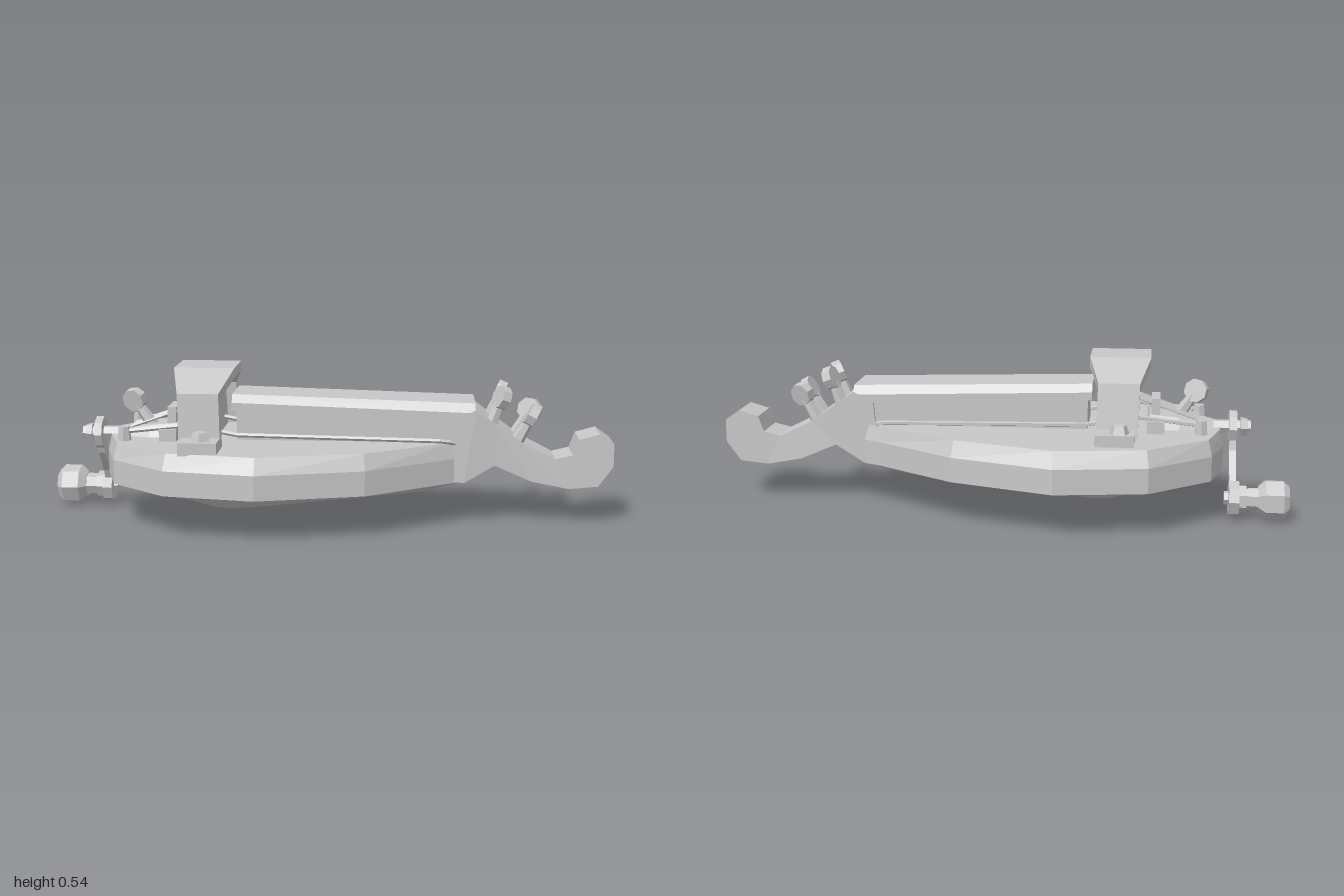
import * as THREE from 'three';

const V = (x, y, z) => new THREE.Vector3(x, y, z);
const CZ = 0.018; // the neck, key box and wheel share this centre line

const grey = new THREE.MeshStandardMaterial({ color: 0xc8c8c8, flatShading: true });
grey.name = 'plain grey';

// Skin between equal-sized rings of points, capped at both ends, faces outward
function loft(rings) {
  const n = rings[0].length, tris = [];
  for (let i = 0; i < rings.length - 1; i++) {
    for (let j = 0; j < n; j++) {
      const k = (j + 1) % n, a = rings[i], b = rings[i + 1];
      tris.push([a[j], b[j], b[k]], [a[j], b[k], a[k]]);
    }
  }
  const first = rings[0], last = rings[rings.length - 1];
  for (let j = 1; j < n - 1; j++) {
    tris.push([first[0], first[j], first[j + 1]], [last[0], last[j + 1], last[j]]);
  }
  let volume = 0;
  const cross = new THREE.Vector3();
  for (const [a, b, c] of tris) volume += a.dot(cross.crossVectors(b, c));
  if (volume < 0) tris.forEach((t) => t.reverse());
  const geometry = new THREE.BufferGeometry().setFromPoints(tris.flat());
  geometry.computeVertexNormals();
  return geometry;
}

export function createModel() {
  const model = new THREE.Group();
  model.name = 'crankedStringInstrument';

  const add = (name, geometry, parent = model) => {
    const mesh = new THREE.Mesh(geometry, grey);
    mesh.name = name;
    parent.add(mesh);
    return mesh;
  };
  const box = (name, w, h, d, x, y, z) => {
    const mesh = add(name, new THREE.BoxGeometry(w, h, d));
    mesh.position.set(x, y, z);
    return mesh;
  };
  // Prism or cone lying along x
  const rod = (name, x0, x1, r0, r1, y, z, sides) => {
    const mesh = add(name, new THREE.CylinderGeometry(r1, r0, x1 - x0, sides));
    mesh.rotation.z = -Math.PI / 2;
    mesh.position.set((x0 + x1) / 2, y, z);
    return mesh;
  };

  // Body: pear-shaped plan, bevelled rim and shallow faceted bowl
  const plan = [
    [-0.775, -0.04], [-0.73, -0.21], [-0.52, -0.39], [-0.21, -0.44], [0.14, -0.32], [0.42, -0.13], [0.48, -0.1],
    [0.48, 0.11], [0.45, 0.13], [0.15, 0.34], [-0.21, 0.435], [-0.52, 0.385], [-0.72, 0.22], [-0.775, 0.05],
  ];
  const bodyRing = (y, cx, sx, sz) => plan.map(([x, z]) => V(cx + (x + 0.147) * sx, y, z * sz + CZ * (1 - sz)));
  add('body', loft([
    bodyRing(0.295, -0.147, 0.98, 0.93),
    bodyRing(0.24, -0.147, 1, 1),
    bodyRing(0.155, -0.147, 1, 1),
    bodyRing(0.107, -0.155, 0.79, 0.53),
    bodyRing(0.043, -0.31, 0.19, 0.19),
  ]));

  // Neck and curled head: top point, bottom point, half width
  add('neck', loft([
    [0.45, 0.38, 0.43, 0.16, 0.112], [0.52, 0.41, 0.485, 0.155, 0.112], [0.60, 0.352, 0.59, 0.215, 0.098],
    [0.68, 0.295, 0.72, 0.157, 0.085], [0.80, 0.235, 0.85, 0.13, 0.073], [0.86, 0.25, 0.95, 0.14, 0.072],
    [0.88, 0.305, 1.0, 0.21, 0.072], [0.95, 0.325, 1.0, 0.29, 0.072],
  ].map(([tx, ty, bx, by, w]) => [V(tx, ty, CZ - w), V(tx, ty, CZ + w), V(bx, by, CZ + w), V(bx, by, CZ - w)])));

  // Key box and its sloping lid
  const taper = (name, x0, x1, b0, t0, b1, t1, wb, wt) => add(name, loft(
    [[x0, b0, t0], [x1, b1, t1]].map(([x, b, t]) => [
      V(x, b, CZ - wb), V(x, (b + t) / 2, CZ - wb), V(x, t, CZ - wt),
      V(x, t, CZ + wt), V(x, (b + t) / 2, CZ + wb), V(x, b, CZ + wb)])));
  taper('keyBox', -0.305, 0.47, 0.285, 0.41, 0.285, 0.38, 0.1, 0.1);
  taper('keyBoxLid', -0.32, 0.52, 0.4, 0.455, 0.37, 0.432, 0.112, 0.092);

  // Wheel, upper part showing above the body
  const wheel = new THREE.Shape([
    [0.205, 0.27], [0.2, 0.36], [0.165, 0.45], [0.06, 0.5], [-0.06, 0.5], [-0.165, 0.45], [-0.2, 0.36], [-0.205, 0.27],
  ].map(([z, y]) => new THREE.Vector2(z, y)));
  const wheelMesh = add('wheel', new THREE.ExtrudeGeometry(wheel, { depth: 0.06, bevelEnabled: false }));
  wheelMesh.rotation.y = Math.PI / 2;
  wheelMesh.position.set(-0.44, 0, CZ);

  // Wheel guard: arch flaring towards the top; outer z,y, inner z,y, x range
  add('wheelGuard', loft([
    [0.285, 0.285, 0.235, 0.285, -0.48, -0.34], [0.275, 0.482, 0.235, 0.46, -0.485, -0.345],
    [0.12, 0.547, 0.115, 0.512, -0.52, -0.31], [-0.062, 0.547, -0.06, 0.512, -0.52, -0.31],
    [-0.217, 0.485, -0.18, 0.45, -0.485, -0.345], [-0.25, 0.285, -0.2, 0.285, -0.48, -0.34],
  ].map(([oz, oy, iz, iy, x0, x1]) => [V(x0, oy, oz), V(x1, oy, oz), V(x1, iy, iz), V(x0, iy, iz)])));

  // Guard feet with five-sided bolts
  for (const [z, bx, bz] of [[0.32, -0.4, 0.325], [-0.285, -0.42, -0.3]]) {
    box('guardFoot', 0.13, 0.045, 0.105, -0.405, 0.311, z);
    const bolt = add('guardBolt', new THREE.CylinderGeometry(0.024, 0.036, 0.03, 5));
    bolt.position.set(bx, 0.347, bz);
  }

  // Drone strings with end pegs, on either side of the key box
  for (const side of [-1, 1]) {
    const z = CZ + side * 0.13;
    const path = new THREE.CurvePath();
    const pts = [V(-0.7, 0.325, z), V(-0.47, 0.35, z), V(-0.3, 0.318, z), V(0.42, 0.306, z), V(0.46, 0.29, z - side * 0.03)];
    for (let i = 0; i < pts.length - 1; i++) path.add(new THREE.LineCurve3(pts[i], pts[i + 1]));
    add('droneString', new THREE.TubeGeometry(path, 32, 0.008, 5));
    const peg = add('stringPeg', new THREE.CylinderGeometry(0.02, 0.025, 0.055, 6));
    peg.position.set(-0.695, 0.316, z);
    box('droneBridge', 0.06, 0.045, 0.04, -0.54, 0.315, z);
  }

  // Tailpiece rising towards the bridge, and the melody strings
  add('tailpiece', loft([
    [-0.74, 0.29, 0.315, 0.05], [-0.62, 0.29, 0.335, 0.085], [-0.52, 0.29, 0.345, 0.09],
  ].map(([x, b, t, w]) => [V(x, b, CZ - w), V(x, t, CZ - w * 0.7), V(x, t, CZ + w * 0.7), V(x, b, CZ + w)])));
  box('bridge', 0.03, 0.09, 0.12, -0.54, 0.355, CZ);
  for (const dz of [-0.045, -0.015, 0.015, 0.045]) {
    const line = new THREE.LineCurve3(V(-0.69, 0.325, CZ + dz), V(-0.42, 0.42, CZ + dz));
    add('melodyString', new THREE.TubeGeometry(line, 1, 0.005, 5));
  }

  // Tuning pegs: a tapered stem with a flat faceted head
  const tuningPeg = (x, y, z, lean, turn, size = 1) => {
    const peg = new THREE.Group();
    peg.name = 'tuningPeg';
    const stem = add('pegStem', new THREE.CylinderGeometry(0.017, 0.025, 0.1, 6), peg);
    stem.position.y = 0.02;
    const head = add('pegHead', new THREE.CylinderGeometry(0.042, 0.042, 0.032, 8), peg);
    head.rotation.set(Math.PI / 2, 0, 0);
    head.position.y = 0.088;
    const twist = new THREE.Quaternion().setFromAxisAngle(V(0, 1, 0), turn);
    peg.quaternion.setFromAxisAngle(V(0, 0, 1), lean).multiply(twist);
    peg.position.set(x, y, z);
    peg.scale.setScalar(size);
    model.add(peg);
  };
  tuningPeg(0.58, 0.365, -0.035, -0.36, 1.4);
  tuningPeg(0.58, 0.365, 0.08, -0.36, 1.95);
  tuningPeg(0.675, 0.31, -0.035, -0.5, -0.5);
  tuningPeg(0.675, 0.31, 0.075, -0.5, 1.5);
  tuningPeg(-0.63, 0.345, 0.03, 0.6, -0.4);

  // Crank arm: slim bar with rounded ends, turned on the wheel axle
  const hub = V(0, 0.295, CZ), grip = V(0, 0.072, -0.115);
  rod('axle', -0.87, -0.74, 0.025, 0.025, hub.y, hub.z, 6);
  rod('axleNut', -0.86, -0.835, 0.03, 0.036, hub.y, hub.z, 6);
  rod('crankHub', -0.822, -0.795, 0.058, 0.058, hub.y, hub.z, 8);
  rod('crankEnd', -0.83, -0.795, 0.062, 0.062, grip.y, grip.z, 8);
  add('crankArm', loft([[0.295, CZ, 0.03], [0.22, -0.005, 0.024], [0.14, -0.075, 0.024], [0.072, -0.115, 0.03]]
    .map(([y, z, w]) => [V(-0.82, y, z - w), V(-0.797, y, z - w), V(-0.797, y, z + w), V(-0.82, y, z + w)])));

  // Crank handle: faceted knob on a narrower neck
  rod('handleNeck', -0.91, -0.825, 0.042, 0.036, grip.y, grip.z, 7);
  rod('handleCollar', -0.855, -0.828, 0.048, 0.048, grip.y, grip.z, 7);
  rod('handleKnobEnd', -1.0, -0.98, 0.05, 0.07, grip.y, grip.z, 7);
  rod('handleKnob', -0.98, -0.92, 0.07, 0.07, grip.y, grip.z, 7);
  rod('handleKnobInner', -0.92, -0.895, 0.07, 0.046, grip.y, grip.z, 7);
  rod('handlePin', -0.8, -0.78, 0.024, 0.024, grip.y, grip.z, 6);

  return model;
}
